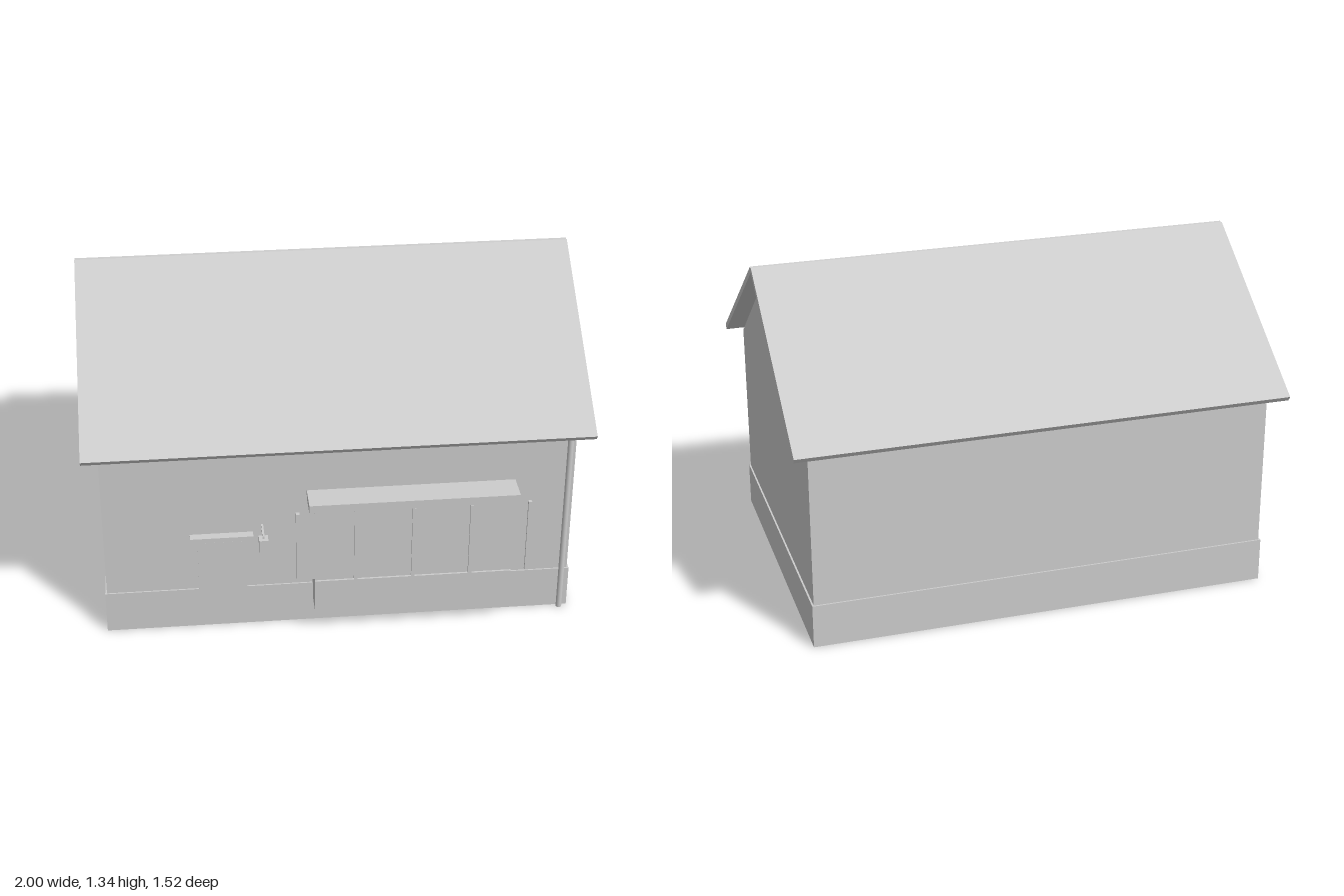
import * as THREE from 'three';

export function createModel() {
  const group = new THREE.Group();
  const grey = new THREE.MeshStandardMaterial({ color: 0xcccccc });
  grey.name = 'light grey';
  grey.side = THREE.DoubleSide;

  function add(name, geometry) {
    const mesh = new THREE.Mesh(geometry, grey);
    mesh.name = name;
    group.add(mesh);
    return mesh;
  }

  // Box given by its limits on each axis
  function box(name, x0, x1, y0, y1, z0, z1) {
    const g = new THREE.BoxGeometry(x1 - x0, y1 - y0, z1 - z0);
    g.translate((x0 + x1) / 2, (y0 + y1) / 2, (z0 + z1) / 2);
    return add(name, g);
  }

  // Profile of [z, y] points, extruded along x about the centre
  function prism(name, points, width) {
    const shape = new THREE.Shape(points.map(([z, y]) => new THREE.Vector2(z, y)));
    const g = new THREE.ExtrudeGeometry(shape, { depth: width, bevelEnabled: false });
    g.translate(0, 0, -width / 2);
    g.rotateY(-Math.PI / 2);
    return add(name, g);
  }

  // Gabled walls and plinth
  prism('walls', [[-0.69, 0.01], [0.645, 0.01], [0.645, 0.83], [-0.022, 1.32], [-0.69, 0.83]], 1.87);
  box('plinth', -0.942, 0.942, 0, 0.18, -0.697, 0.651);

  // Two roof slabs with square-cut ends, leaving a small notch at the ridge
  const thick = 0.024;
  function roofSlab(name, ridgeZ, eaveZ) {
    const dz = eaveZ - ridgeZ, dy = 0.84 - 1.344, len = Math.hypot(dz, dy);
    const side = Math.sign(dz);
    const nz = (-dy / len) * side * thick, ny = (Math.abs(dz) / len) * thick;
    prism(name, [
      [ridgeZ, 1.344], [eaveZ, 0.84], [eaveZ - nz, 0.84 - ny], [ridgeZ - nz, 1.344 - ny],
    ], 2);
  }
  roofSlab('frontRoof', -0.016, 0.712);
  roofSlab('backRoof', -0.032, -0.763);

  // Downpipe at the front corner
  const pipe = add('downpipe', new THREE.CylinderGeometry(0.012, 0.012, 0.83, 12));
  pipe.position.set(0.909, 0.415, 0.661);

  // Bay window: base, core, canopy
  box('bayBase', -0.108, 0.68, 0.11, 0.255, 0.64, 0.75);
  box('bayCore', -0.108, 0.68, 0.255, 0.585, 0.64, 0.742);
  box('bayCanopy', -0.13, 0.70, 0.585, 0.62, 0.64, 0.76);

  // Evenly spaced posts with a pane between each pair
  const first = -0.175, step = 0.229;
  for (let i = 0; i < 5; i++) {
    const x = first + i * step;
    box('windowPost', x - 0.007, x + 0.007, 0.26, 0.582, 0.741, 0.757);
    if (i < 4) {
      const pane = add('windowPane', new THREE.PlaneGeometry(step - 0.014, 0.31));
      pane.position.set(x + step / 2, 0.42, 0.747);
    }
  }

  // Door with its small canopy
  box('door', -0.566, -0.375, 0, 0.40, 0.64, 0.651);
  box('doorCanopy', -0.595, -0.345, 0.42, 0.44, 0.64, 0.68);

  // Lantern hung from a wall arm
  box('lantern', -0.326, -0.29, 0.395, 0.46, 0.706, 0.746);
  box('lanternArm', -0.312, -0.304, 0.46, 0.472, 0.64, 0.73);

  return group;
}
